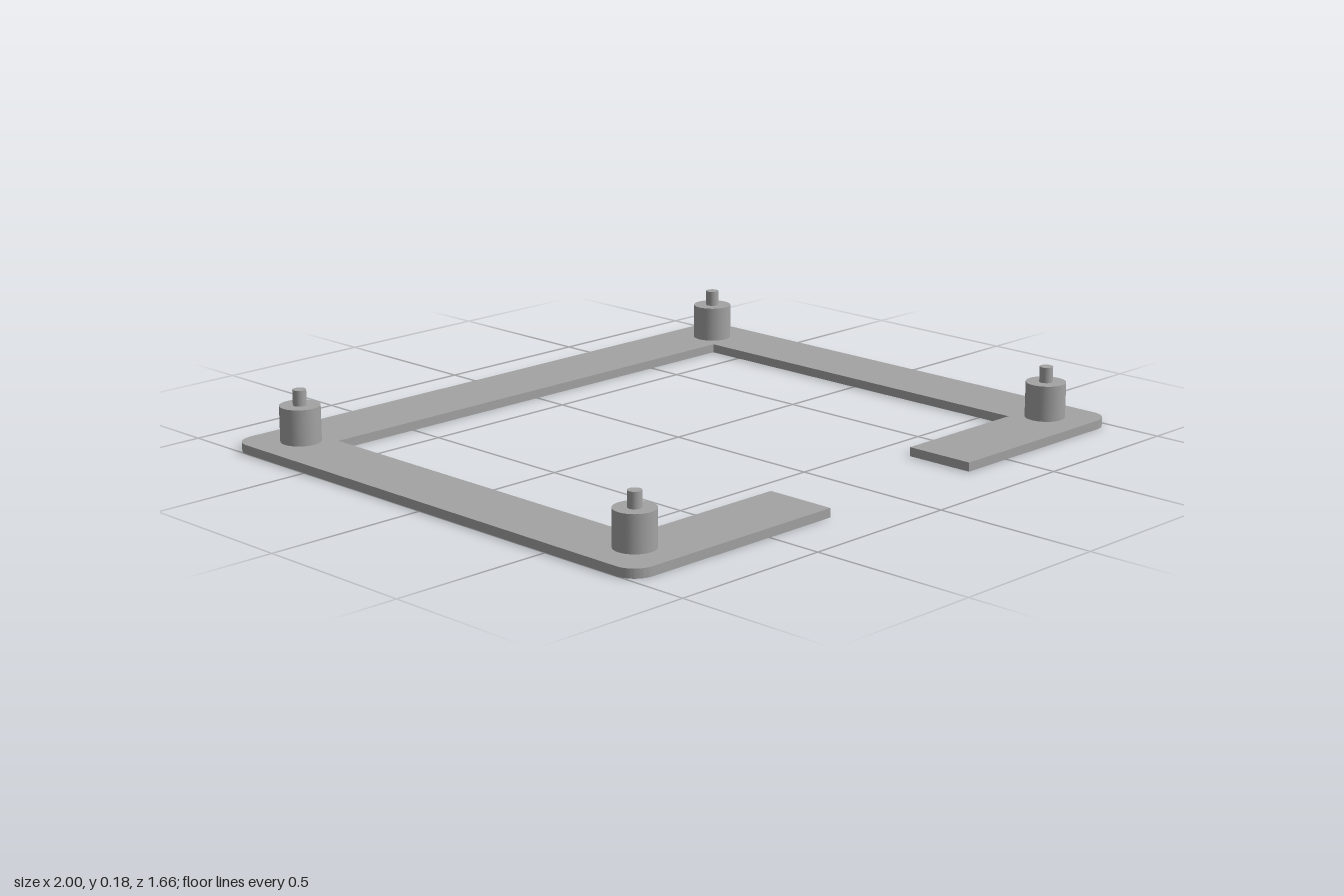
import * as THREE from 'three';
import { toCreasedNormals } from 'three/addons/utils/BufferGeometryUtils.js';

const W = 1, D = 0.83;            // outer half width and half depth
const IW = 0.785, ID = 0.612;     // inner half width and half depth
const GAP_L = -0.26, GAP_R = 0.33; // ends of the front opening
const R = 0.065;                  // corner radius
const PLATE = 0.027;              // plate thickness

// Flat open frame, drawn as (x, z) and laid down
function frameGeometry() {
  const s = new THREE.Shape();
  s.moveTo(GAP_R, D);
  s.lineTo(W - R, D);
  s.absarc(W - R, D - R, R, Math.PI / 2, 0, true);
  s.absarc(W - R, -D + R, R, 0, -Math.PI / 2, true);
  s.absarc(-W + R, -D + R, R, -Math.PI / 2, -Math.PI, true);
  s.absarc(-W + R, D - R, R, Math.PI, Math.PI / 2, true);
  s.lineTo(GAP_L, D);
  s.lineTo(GAP_L, ID);
  s.lineTo(-IW, ID);
  s.lineTo(-IW, -ID);
  s.lineTo(IW, -ID);
  s.lineTo(IW, ID);
  s.lineTo(GAP_R, ID);
  s.closePath();
  const g = new THREE.ExtrudeGeometry(s, { depth: PLATE, bevelEnabled: false, curveSegments: 10 });
  g.rotateX(Math.PI / 2).translate(0, PLATE, 0);
  return toCreasedNormals(g, 0.5);
}

export function createModel() {
  const model = new THREE.Group();
  model.name = 'mountingFrame';
  const grey = new THREE.MeshStandardMaterial({ color: 0xa3a3a3 });
  grey.name = 'grey';

  const add = (parent, name, geometry, y = 0) => {
    const mesh = new THREE.Mesh(geometry, grey);
    mesh.name = name;
    mesh.position.y = y;
    parent.add(mesh);
  };

  add(model, 'framePlate', frameGeometry());

  // Standoff with a locating pin at each corner
  const bodyH = 0.135 - PLATE, pinH = 0.182 - 0.135;
  const body = new THREE.CylinderGeometry(0.06, 0.06, bodyH, 40);
  const pin = new THREE.CylinderGeometry(0.02, 0.02, pinH, 28);
  for (const sx of [-1, 1]) {
    for (const sz of [-1, 1]) {
      const post = new THREE.Group();
      post.name = (sz > 0 ? 'front' : 'back') + (sx > 0 ? 'Left' : 'Right') + 'Standoff';
      post.position.set(sx * 0.86, 0, sz * 0.69);
      add(post, 'standoffBody', body, PLATE + bodyH / 2);
      add(post, 'locatingPin', pin, 0.135 + pinH / 2);
      model.add(post);
    }
  }
  return model;
}
